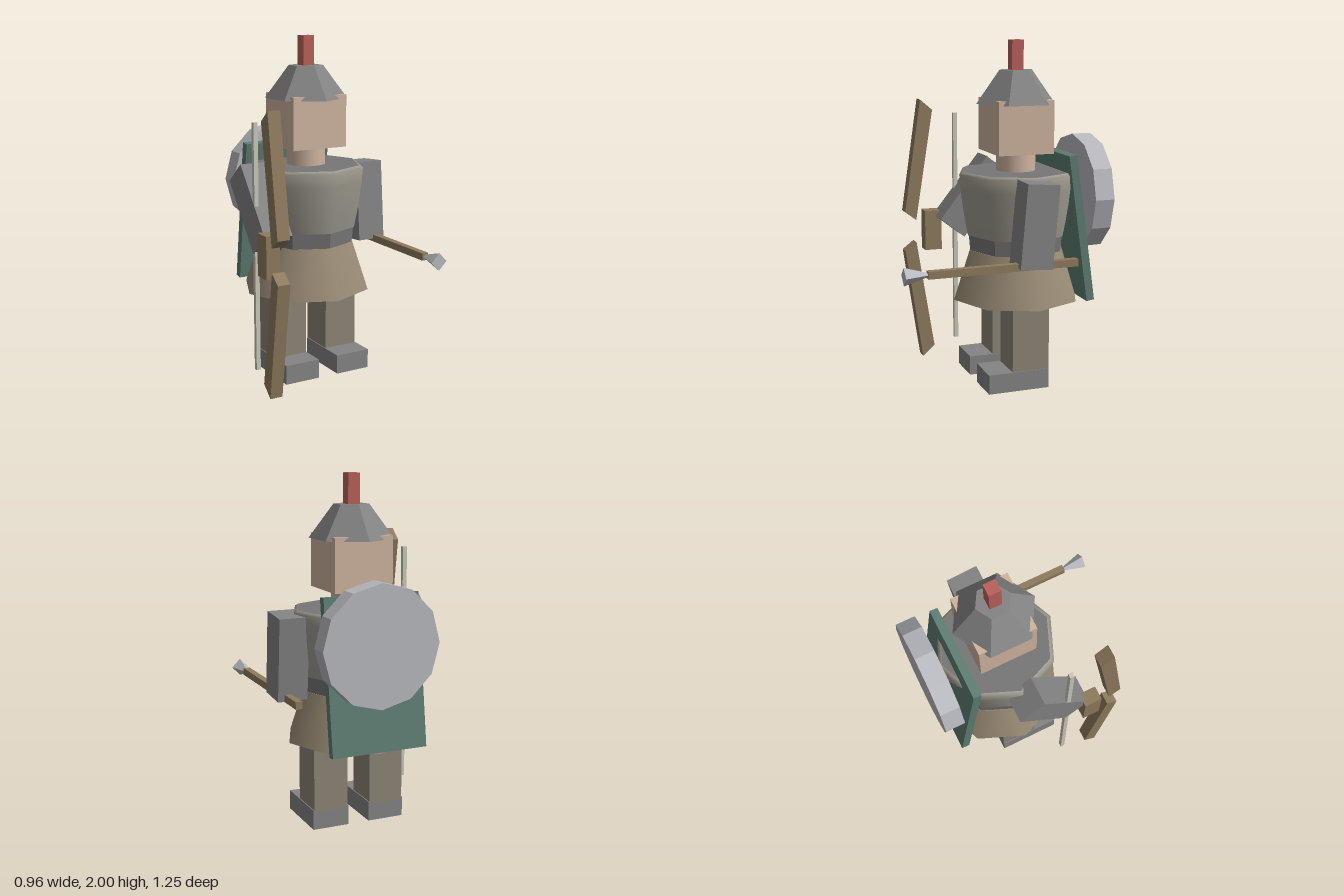
import * as THREE from 'three';

const CX = 0.013, CZ = -0.165; // body axis

const mat = (color, smooth = false) =>
  new THREE.MeshStandardMaterial({ color, flatShading: !smooth, side: THREE.DoubleSide });

const steel = mat(0x848484), skin = mat(0xd0b49f), red = mat(0xb9615a), cloth = mat(0x8d8577);
const wood = mat(0x8f7b5e), green = mat(0x5e7d72), bright = mat(0xb9bac0), cord = mat(0xc9c9bb);
const darkIron = mat(0x777777), smoothSkin = mat(0xd0b49f, true);
const plate = mat(0xa19d91, true), tunic = mat(0x9a8c76, true);

export function createModel() {
  const model = new THREE.Group();

  const add = (name, geometry, material, x, y, z, rx = 0) => {
    const mesh = new THREE.Mesh(geometry, material);
    mesh.name = name;
    mesh.position.set(x, y, z);
    mesh.rotation.x = rx;
    model.add(mesh);
    return mesh;
  };
  const box = (name, material, w, h, d, x, y, z, rx = 0) =>
    add(name, new THREE.BoxGeometry(w, h, d), material, x, y, z, rx);
  const drum = (name, material, rTop, rBottom, h, sides, x, y, z, rx = 0) =>
    add(name, new THREE.CylinderGeometry(rTop, rBottom, h, sides), material, x, y, z, rx);

  // Legs and feet
  for (const [side, s] of [['left', 1], ['right', -1]]) {
    box(side + 'Leg', cloth, 0.207, 0.5, 0.223, CX + s * 0.173, 0.35, -0.157);
    box(side + 'Foot', steel, 0.218, 0.115, 0.368, CX + s * 0.173, 0.0575, -0.084);
  }

  // Eight-sided tunic skirt, belt, breastplate and shoulders
  drum('skirt', tunic, 0.287, 0.384, 0.29, 8, CX, 0.645, CZ);
  drum('belt', darkIron, 0.292, 0.283, 0.1, 8, CX, 0.84, CZ);
  const chest = [[0.296, 0.88], [0.314, 0.97], [0.33, 1.07], [0.341, 1.16], [0.348, 1.24], [0.325, 1.252]]
    .map(([r, y]) => new THREE.Vector2(r, y));
  add('breastplate', new THREE.LatheGeometry(chest, 8), plate, CX, 0, CZ);
  drum('shoulders', darkIron, 0.325, 0.31, 0.1, 8, CX, 1.202, CZ);

  // Neck, head and helmet
  drum('neck', smoothSkin, 0.115, 0.115, 0.16, 16, CX, 1.3, CZ + 0.003);
  box('head', skin, 0.35, 0.305, 0.335, CX, 1.512, CZ + 0.003);
  drum('helmet', steel, 0.1, 0.24, 0.19, 6, CX, 1.735, CZ + 0.005);
  box('plume', red, 0.07, 0.3, 0.07, CX, 1.85, CZ + 0.005);

  // Arms: left hangs, right reaches forward
  box('leftArm', steel, 0.175, 0.475, 0.19, 0.39, 1.0, -0.133, -0.085);
  box('rightArm', steel, 0.172, 0.475, 0.19, -0.366, 1.05, -0.016, -0.67);

  // Bow: grip, two slanted limbs and string
  box('bowGrip', wood, 0.083, 0.245, 0.105, -0.4385, 0.833, 0.22);
  const limb = [[0.295, 0.806], [0.22, 0.742], [0.328, 0.07], [0.397, 0.123]];
  for (const [name, s] of [['upperBowLimb', 1], ['lowerBowLimb', -1]]) {
    const shape = new THREE.Shape(limb.map(([z, y]) => new THREE.Vector2(-z, s * y)));
    const mesh = add(name, new THREE.ExtrudeGeometry(shape, { depth: 0.076, bevelEnabled: false }),
      wood, -0.476, 0.833, 0);
    mesh.rotation.y = Math.PI / 2;
  }
  box('bowString', cord, 0.026, 1.43, 0.025, -0.438, 0.835, 0.067);

  // Spear with a flared four-sided head
  box('spearShaft', wood, 0.04, 0.042, 0.873, 0.42, 0.775, 0.058);
  drum('spearHead', bright, 0.051, 0.012, 0.132, 4, 0.42, 0.775, 0.559, Math.PI / 2);

  // Cloak board and round shield on the back
  box('cloak', green, 0.567, 0.865, 0.048, CX, 0.931, -0.464, 0.142);
  drum('shield', bright, 0.342, 0.342, 0.116, 12, 0.042, 1.11, -0.565, Math.PI / 2);
  drum('shieldBoss', red, 0.075, 0.097, 0.045, 8, 0.042, 1.11, -0.495, Math.PI / 2);

  return model;
}
